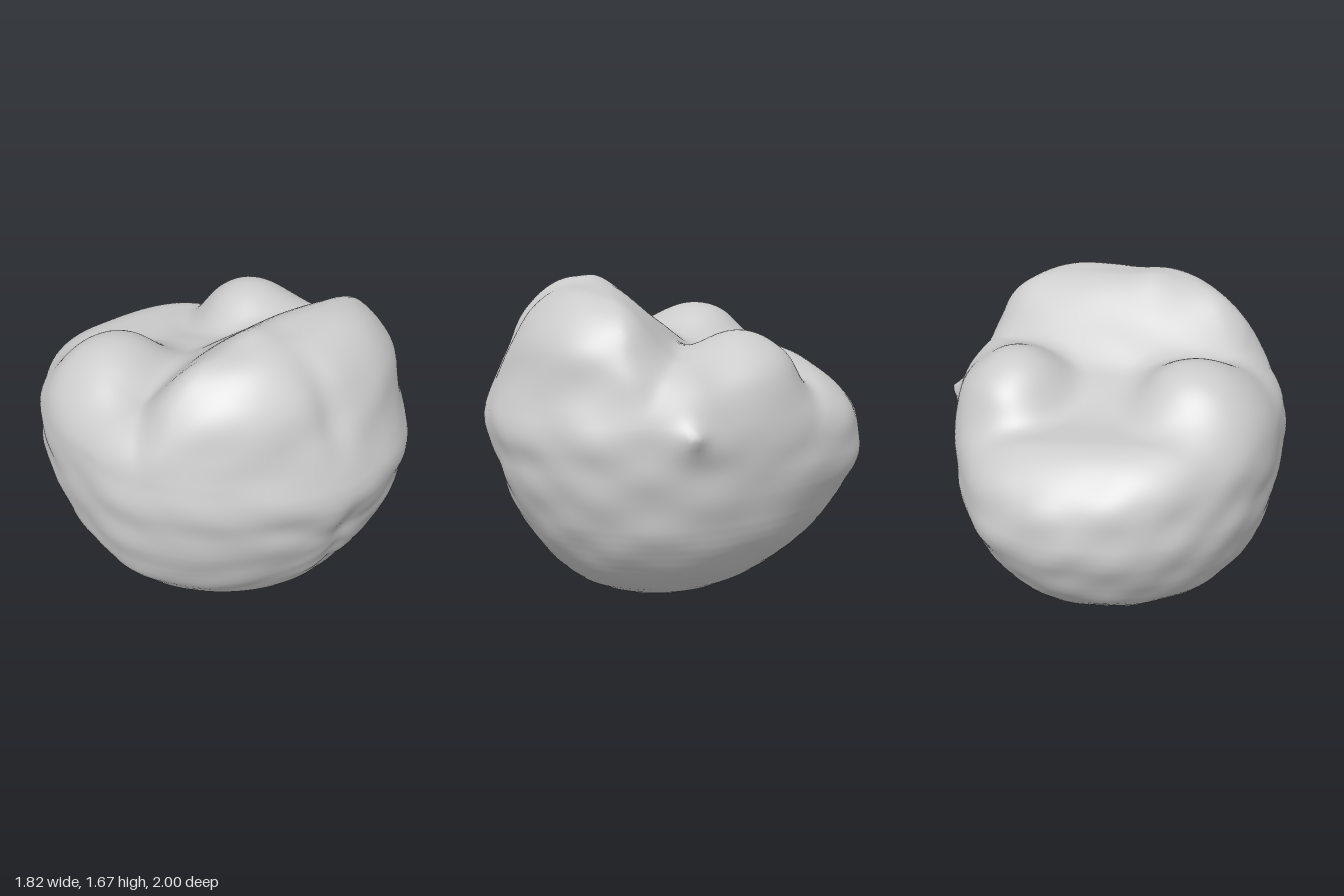
import * as THREE from 'three';
import { mergeVertices } from 'three/addons/utils/BufferGeometryUtils.js';

const { smoothstep, clamp, lerp } = THREE.MathUtils;
const gauss = (d, w) => Math.exp(-(d * d) / (w * w));
const smax = (a, b, k) => {
  const h = Math.max(k - Math.abs(a - b), 0) / k;
  return Math.max(a, b) + h * h * k * 0.25;
};
const smin = (a, b, k) => -smax(-a, -b, k);

// Outline by height: y, right reach (-x), left reach (+x), front reach (+z), back reach (-z)
const OUTLINE = [
  [-0.06, 0.03, 0.03, 0.13, 0.03],
  [0.0, 0.2, 0.17, 0.27, 0.15],
  [0.05, 0.33, 0.3, 0.41, 0.28],
  [0.1, 0.43, 0.41, 0.52, 0.41],
  [0.2, 0.59, 0.56, 0.65, 0.57],
  [0.35, 0.76, 0.69, 0.77, 0.77],
  [0.5, 0.85, 0.77, 0.86, 0.89],
  [0.75, 0.91, 0.82, 0.96, 1.0],
  [1.0, 0.92, 0.83, 1.01, 0.97],
  [1.2, 0.88, 0.78, 0.93, 0.93],
  [1.4, 0.75, 0.72, 0.84, 0.88],
  [1.55, 0.66, 0.68, 0.76, 0.82],
  [1.8, 0.53, 0.57, 0.57, 0.75],
];
const MID_Z = 0.1;

function reachAt(y, col) {
  const v = clamp(y, -0.06, 1.799);
  let i = 0;
  while (OUTLINE[i + 1][0] < v) i++;
  const [a, b] = [OUTLINE[i], OUTLINE[i + 1]];
  return lerp(a[col], b[col], (v - a[0]) / (b[0] - a[0]));
}
const reach = (y, col) => (reachAt(y - 0.05, col) + reachAt(y, col) + reachAt(y + 0.05, col)) / 3;

// Height of the upper side: tilted rear shelf, valley and front lobe
function topHeight(x, z) {
  const rear = 1.205 - 0.1 * x - 0.1 * x * x - 0.1 * smoothstep(-z, 0.65, 1.0);
  const base = lerp(rear, 1.34, smoothstep(z, -0.5, 0.1));
  const edge = -0.12 + 0.65 * x * x;
  const run = Math.max(0.24, 0.54 - 0.7 * x * x);
  const lobe = 1.65 - 0.3 * Math.abs(x) ** 3 + 0.025 * gauss(x + 0.16, 0.1) * gauss(z - 0.4, 0.15);
  return lerp(base, lobe, smoothstep(z, edge, edge + run));
}

// Two rounded domes behind the front lobe: centre, radii
const DOMES = [
  [-0.5, 1.12, -0.23, 0.34, 0.345, 0.33],
  [0.42, 1.11, -0.22, 0.3, 0.335, 0.32],
];
function domeField([cx, cy, cz, rx, ry, rz], x, y, z) {
  return (Math.hypot((x - cx) / rx, (y - cy) / ry, (z - cz) / rz) - 1) * 0.32;
}

// Negative inside the body, positive outside
function field(x, y, z) {
  const dz = z - MID_Z;
  const X = reach(y, x < 0 ? 1 : 2);
  const Z = dz > 0 ? reach(y, 3) - MID_Z : reach(y, 4) + MID_Z;
  const n = 2 + 0.18 * clamp(x * dz * 5, -1, 1) + 0.5 * smoothstep(y, 1.15, 1.5);
  const rho = Math.pow(Math.pow(Math.abs(x / X), n) + Math.pow(Math.abs(dz / Z), n), 1 / n);
  let f = (rho - 1) * 0.8;

  // Pointed nub on the left flank, low swelling at the back left
  if (x > 0.3) f -= 0.1 * Math.exp(-Math.hypot(y - 1.03, z - 0.1) / 0.065);
  f -= 0.035 * gauss(Math.hypot(x - 0.45, y - 0.85, z + 0.85), 0.28);

  // Soft grooves and folds on the front; its right half sits further back
  const front = smoothstep(z, 0.3, 0.75);
  const fold = 0.74 + 0.12 * smoothstep(Math.abs(x), 0.05, 0.4);
  f += front * 0.015 * gauss(y - fold, 0.07) * gauss(x, 0.4);
  f += front * 0.02 * gauss(x + 0.02, 0.08) * smoothstep(y, 0.25, 0.45) * (1 - smoothstep(y, 0.8, 1.0));
  f += front * 0.035 * gauss(x + 0.06, 0.08) * smoothstep(y, 1.1, 1.35);
  f += front * 0.003 * Math.sin((y + 0.5 * Math.abs(x + 0.02)) * 45) * gauss(y - 0.5, 0.18) * gauss(x, 0.25);
  f += front * 0.018 * smoothstep(-x, 0.05, 0.35);

  f = smax(f, (y - topHeight(x, z)) * 0.8, 0.16 + 0.04 * smoothstep(z, 0, 0.4));
  for (const dome of DOMES) f = smin(f, domeField(dome, x, y, z), 0.12);
  f = smax(f, -y, 0.05);

  // Uneven skin
  f += 0.007 * Math.sin(9 * x + 2 * Math.sin(7 * y)) * Math.sin(11 * z + 1.3) * Math.sin(10 * y + 0.6);
  f += 0.003 * Math.sin(21 * y + 4 * x) * Math.sin(17 * x - 9 * z) * (1 - smoothstep(y, 0.9, 1.3));
  return f;
}

export function createModel() {
  const group = new THREE.Group();
  group.name = 'lobedBoulder';

  let geo = new THREE.IcosahedronGeometry(1, 52);
  geo.deleteAttribute('uv');
  geo.deleteAttribute('normal');
  geo = mergeVertices(geo, 1e-5);

  // Push every vertex out from the core to the outermost surface of the field
  const core = new THREE.Vector3(0, 0.45, 0.03);
  const pos = geo.attributes.position;
  const dir = new THREE.Vector3();
  for (let i = 0; i < pos.count; i++) {
    dir.fromBufferAttribute(pos, i).normalize();
    const at = (t) => field(core.x + dir.x * t, core.y + dir.y * t, core.z + dir.z * t);
    let hi = 1.6;
    while (hi > 0.1 && at(hi - 0.03) > 0) hi -= 0.03;
    let lo = hi - 0.03;
    for (let k = 0; k < 12; k++) {
      const m = (lo + hi) / 2;
      if (at(m) > 0) hi = m;
      else lo = m;
    }
    pos.setXYZ(i, core.x + dir.x * hi, Math.max(0, core.y + dir.y * hi), core.z + dir.z * hi);
  }
  geo.computeVertexNormals();

  const body = new THREE.Mesh(geo, new THREE.MeshStandardMaterial({ color: 0xcccccc }));
  body.name = 'body';
  group.add(body);
  return group;
}
